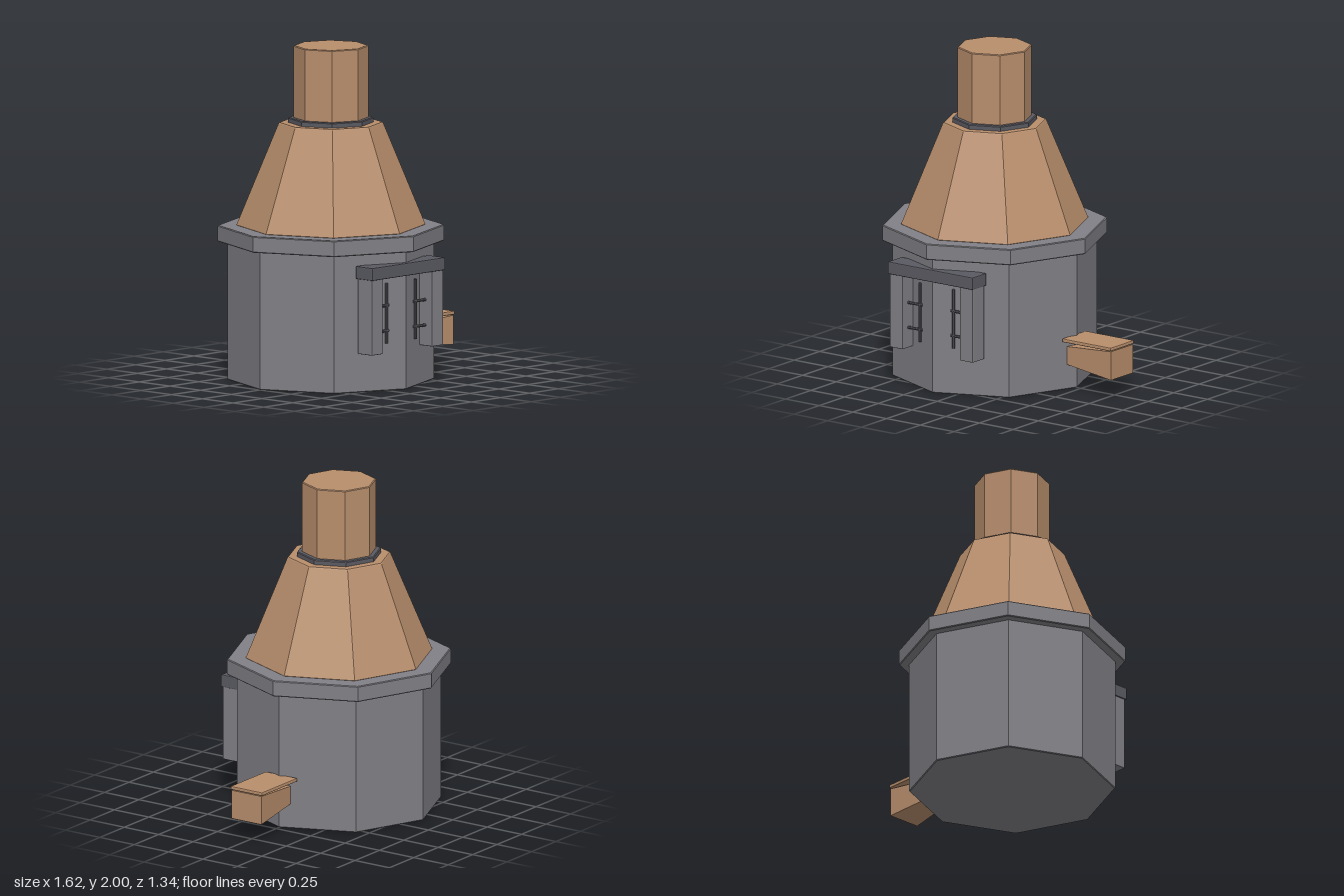
import * as THREE from 'three';
import { RoundedBoxGeometry } from 'three/addons/geometries/RoundedBoxGeometry.js';

const AXIS_X = -0.14; // centre of the octagonal tower

const makeMaterial = (color) => new THREE.MeshStandardMaterial({ color, flatShading: true });

export function createModel() {
  const model = new THREE.Group();
  model.name = 'furnace';
  const clay = makeMaterial(0xb88e6c);
  const stone = makeMaterial(0x808086);
  const iron = makeMaterial(0x5a5a62);

  const add = (name, geometry, material, x = 0, y = 0, z = 0, parent = model) => {
    const mesh = new THREE.Mesh(geometry, material);
    mesh.name = name;
    mesh.position.set(x, y, z);
    parent.add(mesh);
    return mesh;
  };

  // Closed eight-sided drum with a small bevel on its upper and lower edges
  const drum = (name, material, r0, r1, y0, y1, bevel = 0.005) => {
    const profile = [
      [0, y0], [r0 - bevel, y0], [r0, y0 + bevel],
      [r1, y1 - bevel], [r1 - bevel, y1], [0, y1],
    ].map(([r, y]) => new THREE.Vector2(r, y));
    add(name, new THREE.LatheGeometry(profile, 8), material, AXIS_X);
  };

  drum('body', stone, 0.612, 0.612, 0, 0.84);
  drum('rim', stone, 0.672, 0.672, 0.828, 0.925);
  drum('hood', clay, 0.56, 0.31, 0.922, 1.54);
  drum('collar', iron, 0.253, 0.253, 1.535, 1.57);
  drum('chimney', clay, 0.222, 0.222, 1.53, 2);

  // Fireplace opening: lintel, posts and bars
  const fireplace = new THREE.Group();
  fireplace.name = 'fireplace';
  fireplace.position.x = AXIS_X;
  model.add(fireplace);
  add('lintel', new RoundedBoxGeometry(0.63, 0.076, 0.136, 1, 0.006), iron, 0, 0.722, 0.567, fireplace);
  for (const side of [-1, 1]) {
    add('post', new RoundedBoxGeometry(0.097, 0.46, 0.116, 1, 0.005), stone, side * 0.26, 0.465, 0.567, fireplace);
    add('uprightBar', new THREE.CylinderGeometry(0.009, 0.009, 0.36, 8), iron, side * 0.125, 0.465, 0.57, fireplace);
    for (const y of [0.36, 0.512]) {
      const hinge = add('crossBar', new THREE.CylinderGeometry(0.009, 0.009, 0.105, 8), iron, side * 0.158, y, 0.57, fireplace);
      hinge.rotation.z = Math.PI / 2;
    }
  }

  // Side chute: a box that narrows toward the tower, with a flat lid
  const chute = new THREE.BoxGeometry(0.355, 0.175, 0.216);
  const p = chute.attributes.position;
  for (let i = 0; i < p.count; i++) {
    if (p.getX(i) < 0) p.setXYZ(i, p.getX(i), p.getY(i) * 0.63, p.getZ(i) * 0.63);
  }
  chute.computeVertexNormals();
  add('chute', chute, clay, 0.6265, 0.208, 0);
  add('chuteLid', new RoundedBoxGeometry(0.362, 0.022, 0.23, 1, 0.006), clay, 0.627, 0.31, 0);

  return model;
}
